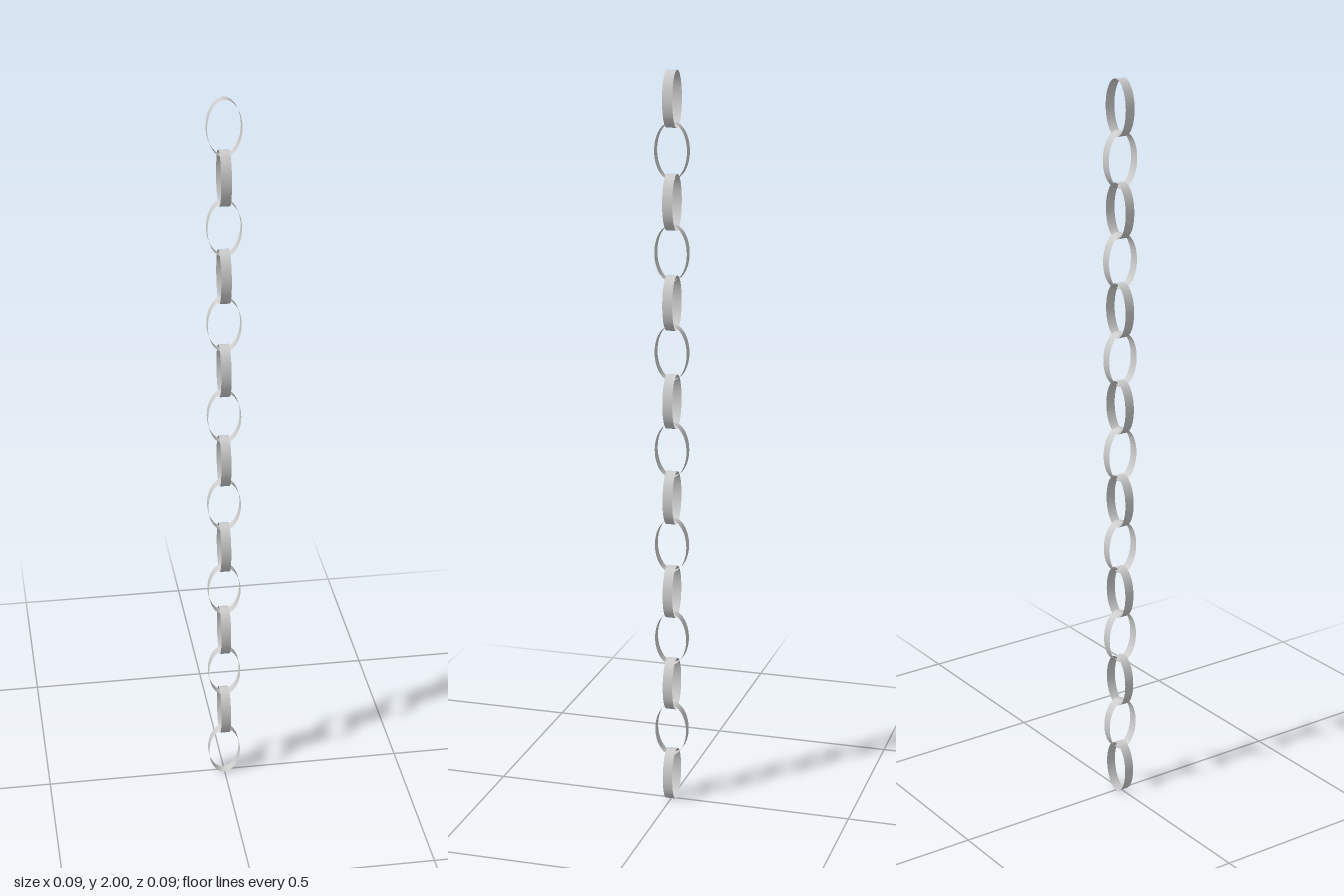
import * as THREE from 'three';

const LINKS = 15;
const HEIGHT = 0.147; // outer height of one link
const WIDTH = 0.088; // outer width of one link
const BAND = 0.027; // depth of the flat band
const PITCH = (2 - HEIGHT) / (LINKS - 1);

export function createModel() {
  const chain = new THREE.Group();
  chain.name = 'chain';
  const material = new THREE.MeshStandardMaterial({ color: 0xcccccc, side: THREE.DoubleSide });

  // Oval link: an open, thin band with its opening facing z
  const band = new THREE.CylinderGeometry(1, 1, BAND, 48, 1, true);
  band.rotateX(Math.PI / 2);
  band.scale(WIDTH / 2, HEIGHT / 2, 1);
  band.computeVertexNormals();
  // Match the normals where the band closes on itself
  const { position, normal } = band.attributes;
  for (let i = 0; i < position.count; i++) {
    const n = new THREE.Vector3(position.getX(i) / WIDTH ** 2, position.getY(i) / HEIGHT ** 2, 0).normalize();
    normal.setXYZ(i, n.x, n.y, n.z);
  }

  // Every second link is turned a quarter about the chain's axis
  for (let i = 0; i < LINKS; i++) {
    const link = new THREE.Mesh(band, material);
    link.name = `link${i + 1}`;
    link.position.y = HEIGHT / 2 + i * PITCH;
    link.rotation.y = (i % 2) * Math.PI / 2;
    chain.add(link);
  }
  return chain;
}
